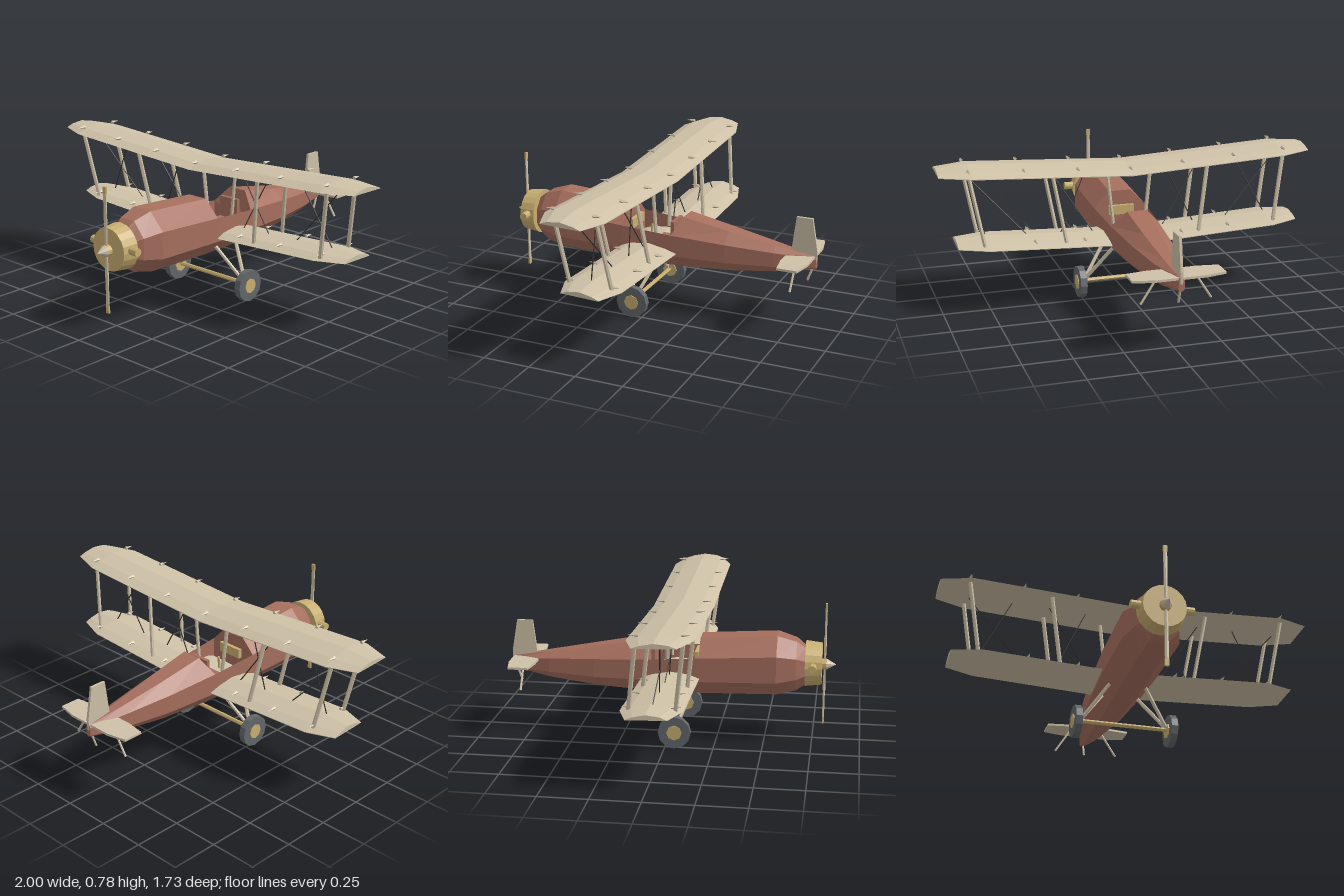
import * as THREE from 'three';

function mat(name, color) {
  const m = new THREE.MeshStandardMaterial({ color, flatShading: true, side: THREE.DoubleSide });
  m.name = name;
  return m;
}

export function createModel() {
  const model = new THREE.Group();
  model.name = 'biplane';
  const red = mat('fuselage red brown', 0xa66f5e);
  const cream = mat('canvas cream', 0xcec1a7);
  const brass = mat('brass', 0xc9ae70);
  const rubber = mat('tyre grey', 0x63676a);
  const dark = mat('wire dark', 0x35322f);

  const add = (name, geo, m, x = 0, y = 0, z = 0) => {
    const mesh = new THREE.Mesh(geo, m);
    mesh.name = name;
    mesh.position.set(x, y, z);
    model.add(mesh);
    return mesh;
  };

  // round bar between two points
  const rod = (name, a, b, r, m, sides = 6) => {
    const p = new THREE.Vector3(...a), q = new THREE.Vector3(...b), d = q.clone().sub(p);
    const mesh = add(name, new THREE.CylinderGeometry(r, r, d.length(), sides), m);
    mesh.position.copy(p).add(q).multiplyScalar(0.5);
    mesh.quaternion.setFromUnitVectors(new THREE.Vector3(0, 1, 0), d.normalize());
    return mesh;
  };

  // skin through matching rings; open(segment, side) leaves a panel out
  const loft = (rings, open = () => false) => {
    const pos = [], n = rings[0].length;
    const tri = (...pts) => pts.forEach((p) => pos.push(...p));
    for (let s = 0; s < rings.length - 1; s++) {
      const a = rings[s], b = rings[s + 1];
      for (let i = 0; i < n; i++) {
        if (open(s, i)) continue;
        const j = (i + 1) % n;
        tri(a[i], b[i], b[j]);
        tri(a[i], b[j], a[j]);
      }
    }
    const last = rings[rings.length - 1];
    for (let i = 1; i < n - 1; i++) {
      tri(rings[0][0], rings[0][i], rings[0][i + 1]);
      tri(last[0], last[i + 1], last[i]);
    }
    const g = new THREE.BufferGeometry();
    g.setAttribute('position', new THREE.Float32BufferAttribute(pos, 3));
    g.computeVertexNormals();
    return g;
  };

  // eight-sided body section: half width, top, upper edge, lower edge, bottom
  const section = ([z, w, top, up, low, bot], lean = 0) => {
    const t = w * 0.41;
    return [[w, low, z], [w, up, z], [t, top, z - lean], [-t, top, z - lean],
      [-w, up, z], [-w, low, z], [-t, bot, z], [t, bot, z]];
  };
  const body = [
    section([0.705, 0.08, 0.50, 0.44, 0.36, 0.30]),
    section([0.66, 0.112, 0.535, 0.458, 0.348, 0.272]),
    section([0.56, 0.145, 0.565, 0.475, 0.335, 0.25]),
    section([0.16, 0.143, 0.54, 0.452, 0.325, 0.24]),
    section([-0.11, 0.13, 0.515, 0.432, 0.32, 0.24], 0.04),
    section([-0.4, 0.106, 0.47, 0.415, 0.318, 0.256]),
    section([-0.65, 0.067, 0.426, 0.398, 0.323, 0.285]),
    section([-0.86, 0.015, 0.39, 0.375, 0.333, 0.325]),
  ];
  // fuselage with open cockpit, and the walls at its two ends
  add('fuselage', loft(body, (s, i) => s === 3 && i >= 1 && i <= 3), red);
  for (const k of [3, 4]) add('cockpitWall', loft([body[k], body[k]]), red);
  add('cockpitFloor', new THREE.BoxGeometry(0.2, 0.01, 0.26), red, 0, 0.3, 0.025);
  add('seat', new THREE.BoxGeometry(0.12, 0.02, 0.1), red, 0, 0.36, -0.04);
  add('seatBack', new THREE.BoxGeometry(0.12, 0.12, 0.02), red, 0, 0.42, -0.09);
  add('instrumentPanel', new THREE.BoxGeometry(0.14, 0.05, 0.02), brass, 0, 0.44, 0.14);
  rod('controlStick', [0, 0.3, 0.06], [0, 0.43, 0.05], 0.007, brass);

  // engine ring, cross tube, spinner
  const cowl = add('cowl', new THREE.CylinderGeometry(0.11, 0.12, 0.085, 20), brass, 0, 0.41, 0.748);
  cowl.rotation.x = Math.PI / 2;
  rod('exhaustTube', [-0.16, 0.42, 0.745], [0.16, 0.42, 0.745], 0.021, brass, 10);
  rod('propellerHub', [0, 0.408, 0.785], [0, 0.408, 0.815], 0.03, brass, 10);
  const nose = add('spinner', new THREE.ConeGeometry(0.03, 0.05, 10), cream, 0, 0.408, 0.84);
  nose.rotation.x = Math.PI / 2;

  // two propeller blades with tips
  for (const s of [-1, 1]) {
    const blade = add('propellerBlade', new THREE.CylinderGeometry(0.011, 0.011, 0.15, 6), cream, 0, 0.408 + s * 0.215, 0.805);
    blade.scale.z = 0.5;
    const root = add('propellerRoot', new THREE.CylinderGeometry(s > 0 ? 0.011 : 0.007, s > 0 ? 0.007 : 0.011, 0.14, 6), cream, 0, 0.408 + s * 0.07, 0.805);
    root.scale.z = 0.7;
    add('propellerTip', new THREE.BoxGeometry(0.021, 0.036, 0.01), brass, 0, 0.408 + s * 0.306, 0.805);
  }

  // wings: stations are [x, bottom y, front z, rear z, thickness]
  const foil = [[1, 0.25], [0, 0], [0, 0.08], [0.18, 0.55], [0.49, 1], [0.82, 0.75]];
  const wing = (name, half) => {
    const all = [...half].reverse().concat(half.slice(1).map(([x, ...r]) => [-x, ...r]));
    add(name, loft(all.map(([x, y, f, r, t]) => foil.map(([u, v]) => [x, y + v * t, r + u * (f - r)]))), cream);
  };
  wing('upperWing', [[0, 0.685, 0.225, -0.095, 0.046], [0.84, 0.73, 0.225, -0.095, 0.046], [1, 0.738, 0.165, -0.045, 0.028]]);
  wing('lowerWing', [[0, 0.325, 0.165, -0.14, 0.042], [0.77, 0.363, 0.165, -0.14, 0.042], [0.92, 0.37, 0.11, -0.09, 0.03]]);

  // small fairings along both wings
  const fairing = (x, y, z) => {
    const f = add('wingFairing', new THREE.ConeGeometry(0.01, 0.05, 4), cream, x, y, z);
    f.rotation.x = z > 0 ? Math.PI / 2 : -Math.PI / 2;
  };
  for (let i = -3; i <= 3; i++) {
    const x = i * 0.283, u = 0.685 + Math.abs(x) * 0.0536;
    fairing(x, u + 0.04, 0.19);
    fairing(x, u + 0.032, -0.06);
    if (i === 0) continue;
    const lx = i * 0.262, l = 0.325 + Math.abs(lx) * 0.0494;
    fairing(lx, l + 0.036, 0.135);
    fairing(lx, l + 0.03, -0.11);
  }

  for (const s of [-1, 1]) {
    // struts between the wings
    for (const [tx, ty, bx, by] of [[0.85, 0.74, 0.785, 0.375], [0.42, 0.715, 0.36, 0.355]]) {
      rod('wingStrut', [s * tx, ty, 0.175], [s * bx, by, 0.13], 0.011, cream);
      rod('wingStrut', [s * tx, ty, -0.05], [s * bx, by, -0.095], 0.011, cream);
    }
    // crossed bracing wires
    for (const [tx, bx] of [[0.84, 0.53], [0.61, 0.79], [0.41, 0.19], [0.21, 0.37]]) {
      rod('braceWire', [s * tx, 0.71, 0.065], [s * bx, 0.37, 0.015], 0.003, dark, 4);
    }
    // centre struts
    rod('centreStrut', [s * 0.116, 0.68, -0.005], [s * 0.085, 0.4, -0.01], 0.01, cream);

    // landing gear
    for (const z of [0.13, -0.03]) rod('gearLeg', [s * 0.09, 0.29, z], [s * 0.235, 0.09, 0.05], 0.01, cream);
    rod('tyre', [s * 0.235, 0.085, 0.05], [s * 0.27, 0.085, 0.05], 0.085, rubber, 12);
    rod('wheelHub', [s * 0.228, 0.085, 0.05], [s * 0.274, 0.085, 0.05], 0.04, brass, 8);

    // tailplane braces
    rod('tailBrace', [s * 0.088, 0.39, -0.78], [s * 0.178, 0.25, -0.78], 0.006, cream);
  }
  rod('axle', [-0.235, 0.09, 0.05], [0.235, 0.09, 0.05], 0.011, brass);
  rod('tailSkid', [0, 0.34, -0.845], [0, 0.255, -0.815], 0.006, cream);

  // flat tail surfaces
  const plate = (pts, depth) => {
    const g = new THREE.ExtrudeGeometry(new THREE.Shape(pts.map((p) => new THREE.Vector2(...p))), { depth, bevelEnabled: false });
    return g.translate(0, 0, -depth / 2);
  };
  const tail = add('tailplane', plate([[-0.235, 0.725], [-0.13, 0.71], [0.13, 0.71], [0.235, 0.725],
    [0.235, 0.83], [0.13, 0.852], [-0.13, 0.852], [-0.235, 0.83]], 0.012), cream, 0, 0.385, 0);
  tail.rotation.x = -Math.PI / 2;
  const fin = add('tailFin', plate([[0.725, 0.4], [0.725, 0.38], [0.86, 0.36], [0.862, 0.42], [0.832, 0.588], [0.748, 0.588]], 0.014), cream);
  fin.rotation.y = Math.PI / 2;

  return model;
}
